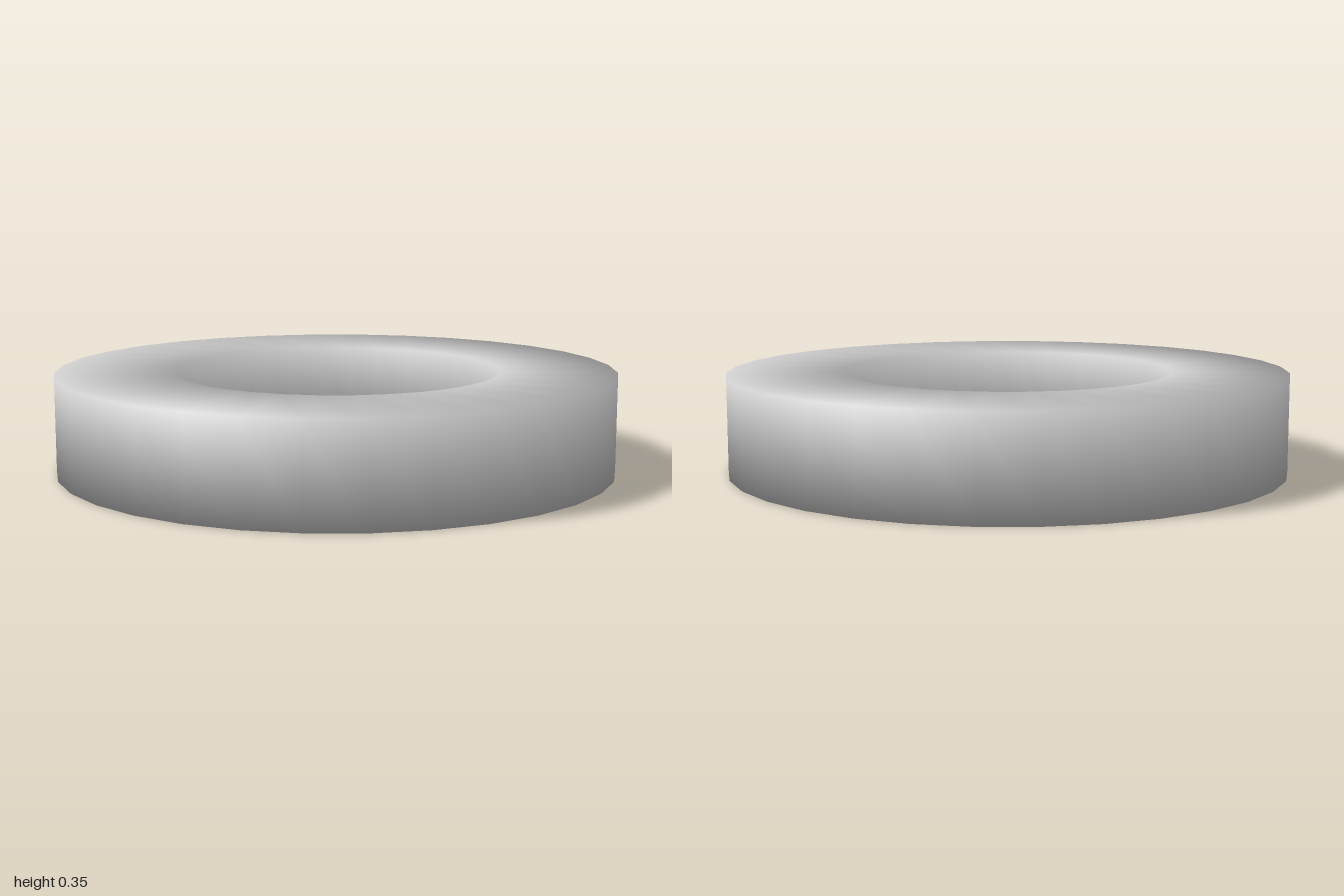
import * as THREE from 'three';
import { mergeVertices } from 'three/addons/utils/BufferGeometryUtils.js';

const OUTER = 1, INNER = 0.584, HEIGHT = 0.35, SIDES = 32;

export function createModel() {
  const group = new THREE.Group();
  group.name = 'ringModel';

  // Closed rectangular cross-section swept around the y axis
  const profile = [
    [INNER, 0], [OUTER, 0], [OUTER, HEIGHT], [INNER, HEIGHT], [INNER, 0],
  ].map(([r, y]) => new THREE.Vector2(r, y));
  let geometry = new THREE.LatheGeometry(profile, SIDES);

  // Weld the seams so the shading runs smoothly over all edges
  geometry.deleteAttribute('uv');
  geometry.deleteAttribute('normal');
  geometry = mergeVertices(geometry, 1e-4);
  geometry.computeVertexNormals();

  const ring = new THREE.Mesh(geometry, new THREE.MeshStandardMaterial({ color: 0xcccccc }));
  ring.name = 'ring';
  group.add(ring);
  return group;
}
